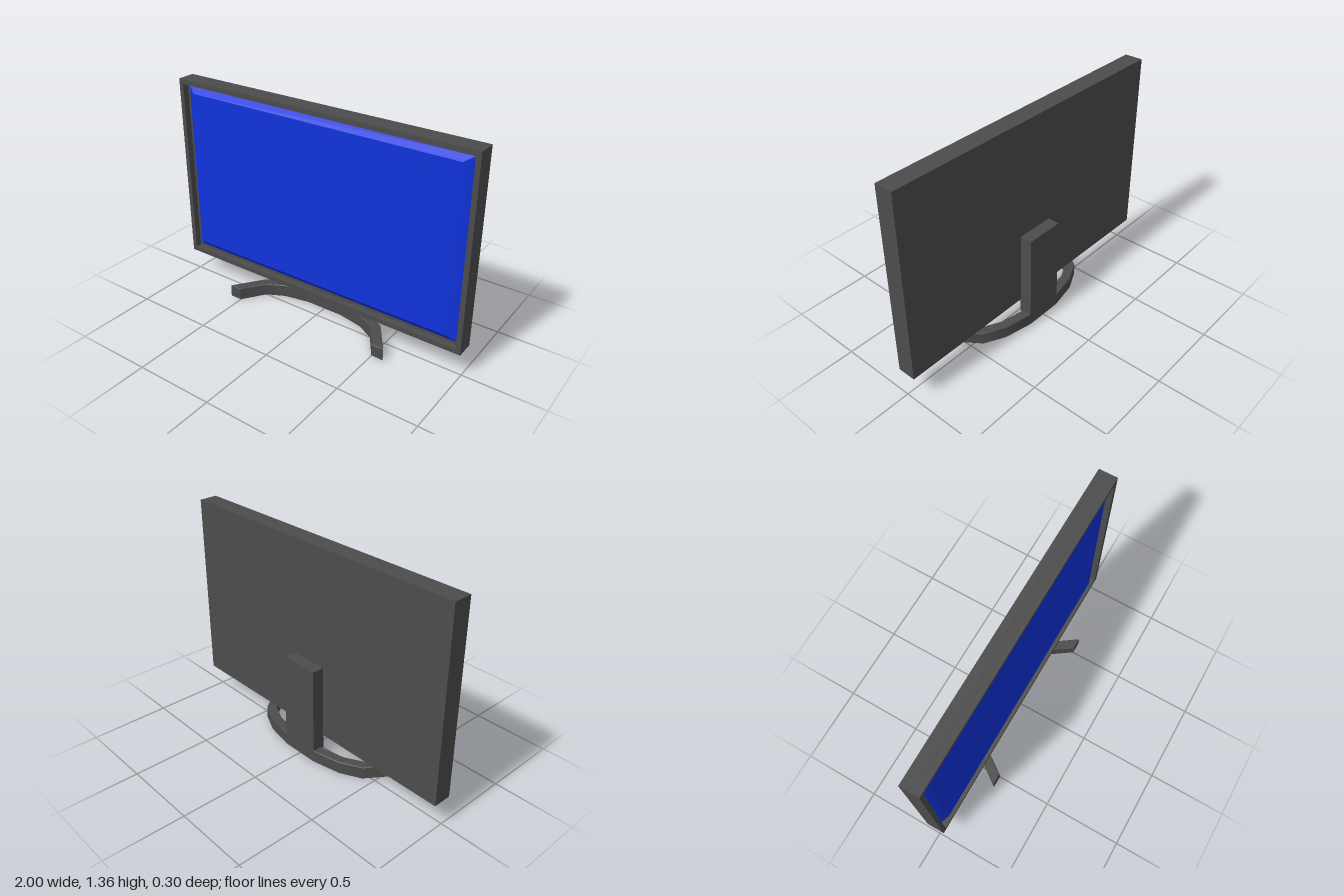
import * as THREE from 'three';
import { toCreasedNormals } from 'three/addons/utils/BufferGeometryUtils.js';

const CREASE = THREE.MathUtils.degToRad(31);

function addMesh(parent, name, geometry, material) {
  const mesh = new THREE.Mesh(geometry, material);
  mesh.name = name;
  parent.add(mesh);
  return mesh;
}

// Box given by its minimum and maximum corners
function boxBetween([x0, y0, z0], [x1, y1, z1]) {
  return new THREE.BoxGeometry(x1 - x0, y1 - y0, z1 - z0)
    .translate((x0 + x1) / 2, (y0 + y1) / 2, (z0 + z1) / 2);
}

function rectPoints(x, y0, y1) {
  return [[-x, y0], [x, y0], [x, y1], [-x, y1]].map(([a, b]) => new THREE.Vector2(a, b));
}

// Raised screen: a rim rectangle sloping up to a smaller front rectangle
function screenGeometry(zBack, zFront) {
  const outer = rectPoints(0.953, 0.213, 1.316);
  const inner = rectPoints(0.9, 0.248, 1.281);
  const positions = [
    ...outer.flatMap((p) => [p.x, p.y, zBack]),
    ...inner.flatMap((p) => [p.x, p.y, zFront]),
  ];
  const index = [4, 5, 6, 4, 6, 7];
  for (let i = 0; i < 4; i++) {
    const j = (i + 1) % 4;
    index.push(i, j, j + 4, i, j + 4, i + 4);
  }
  const geometry = new THREE.BufferGeometry();
  geometry.setAttribute('position', new THREE.Float32BufferAttribute(positions, 3));
  geometry.setIndex(index);
  return toCreasedNormals(geometry, CREASE);
}

// Curved foot: mirrored plan outline, extruded upward with a tiny bevel
function footGeometry(height) {
  const back = [[0.125, -0.147], [0.31, -0.11], [0.44, -0.045], [0.577, 0.148]];
  const front = [[0.5, 0.148], [0.4, 0.005], [0.29, -0.052], [0.125, -0.084]];
  const half = [...back, ...front];
  const mirrored = half.map(([x, z]) => [-x, z]).reverse();
  const outline = [...half, ...mirrored].map(([x, z]) => new THREE.Vector2(x, -z));
  const bevel = 0.004;
  const geometry = new THREE.ExtrudeGeometry(new THREE.Shape(outline), {
    depth: height - 2 * bevel,
    bevelEnabled: true,
    bevelSize: bevel,
    bevelThickness: bevel,
    bevelOffset: -bevel,
    bevelSegments: 1,
  });
  geometry.translate(0, 0, bevel).rotateX(-Math.PI / 2);
  return toCreasedNormals(geometry, CREASE);
}

export function createModel() {
  const model = new THREE.Group();
  model.name = 'television';
  const casing = new THREE.MeshStandardMaterial({ color: 0x4c4c4c });
  const blue = new THREE.MeshStandardMaterial({ color: 0x1033dd });

  const bottom = 0.164, top = 1.364, back = -0.07, recess = 0.006, front = 0.046;

  // Cabinet: solid back and a raised frame around the recess
  const cabinet = new THREE.Group();
  cabinet.name = 'cabinet';
  model.add(cabinet);
  addMesh(cabinet, 'backPanel', boxBetween([-1, bottom, back], [1, top, recess]), casing);

  const frame = new THREE.Shape(rectPoints(1, bottom, top));
  frame.holes.push(new THREE.Path(rectPoints(0.97, bottom + 0.03, top - 0.03).reverse()));
  const frameGeometry = new THREE.ExtrudeGeometry(frame, { depth: front - recess, bevelEnabled: false });
  addMesh(cabinet, 'frame', frameGeometry.translate(0, 0, recess), casing);

  addMesh(cabinet, 'screen', screenGeometry(recess + 0.001, recess + 0.026), blue);

  // Stand: upright neck behind the cabinet on a bowed foot
  const stand = new THREE.Group();
  stand.name = 'stand';
  model.add(stand);
  addMesh(stand, 'neck', boxBetween([-0.125, 0.07, -0.147], [0.125, 0.633, -0.064]), casing);
  addMesh(stand, 'foot', footGeometry(0.082), casing);

  return model;
}
